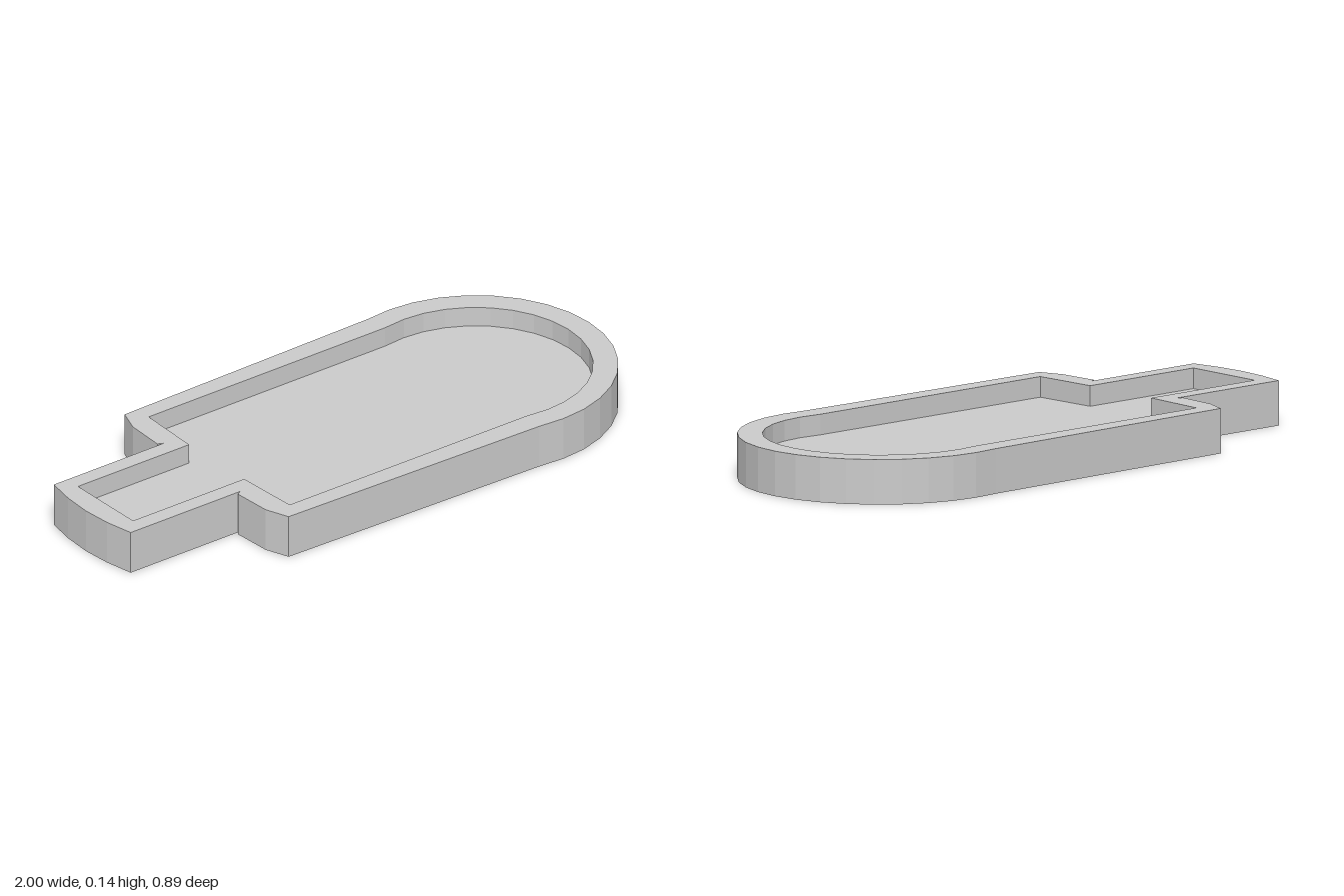
import * as THREE from 'three';

const HEIGHT = 0.144;

// Points of a half outline (z >= 0), closed by mirroring across the x axis
function mirrored(half) {
  const other = half.filter(([, z]) => z > 0).reverse().map(([x, z]) => [x, -z]);
  return [...half, ...other].map(([x, z]) => new THREE.Vector2(x, z));
}

// Faceted round end, from the widest point to the tip
function roundEnd(cx, r, steps = 8) {
  return Array.from({ length: steps + 1 }, (_, i) => {
    const a = (Math.PI / 2) * (1 - i / steps);
    return [cx + r * Math.cos(a), i === steps ? 0 : r * Math.sin(a)];
  });
}

// Upright prism between two heights
function prism(shape, bottom, top, name) {
  const geometry = new THREE.ExtrudeGeometry(shape, { depth: top - bottom, bevelEnabled: false });
  geometry.rotateX(-Math.PI / 2).translate(0, bottom, 0);
  const mesh = new THREE.Mesh(geometry, new THREE.MeshStandardMaterial({ color: 0xcccccc, flatShading: true }));
  mesh.name = name;
  return mesh;
}

export function createModel() {
  const group = new THREE.Group();
  group.name = 'tray';

  // Outer wall: bowed handle end, shoulders, slightly flaring sides, round end
  const outer = mirrored([
    [-1, 0], [-0.993, 0.1], [-0.975, 0.197], [-0.537, 0.197],
    [-0.556, 0.206], [-0.549, 0.34], [-0.52, 0.42], [0.46, 0.44],
    ...roundEnd(0.553, 0.447),
  ]);

  // Inner wall, shared by the upper and lower recess
  const inner = mirrored([
    [-0.922, 0.141], [-0.48, 0.141], [-0.47, 0.361], [0.47, 0.362],
    ...roundEnd(0.551, 0.369),
  ]);

  // The hole runs opposite to the outline so its walls face inward
  const rimShape = new THREE.Shape(outer);
  rimShape.holes.push(new THREE.Path([...inner].reverse()));
  group.add(prism(rimShape, 0, HEIGHT, 'rim'));

  // Thin floor at mid height, open above and below
  group.add(prism(new THREE.Shape(inner), 0.073, 0.078, 'floor'));

  return group;
}
